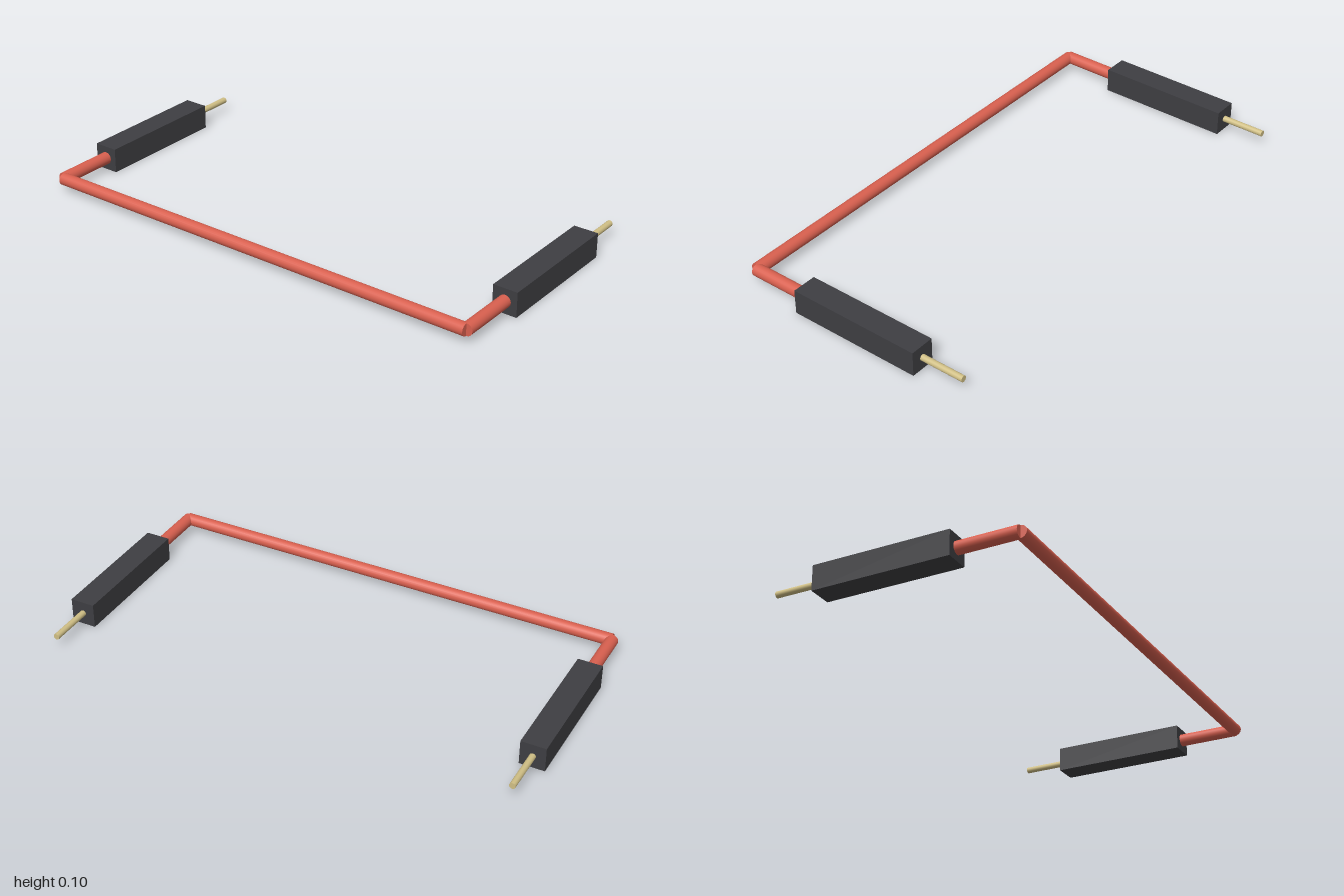
import * as THREE from 'three';

const AXIS_Y = 0.05;   // height of the wire's centreline
const SIDE_X = 0.95;   // offset of each plug from the middle
const WIRE_Z = 0.475;  // depth of the long wire run

function material(name, color) {
  const m = new THREE.MeshStandardMaterial({ color });
  m.name = name;
  return m;
}

// Solid rod lying along z
function rodZ(radius, z0, z1, mat, name) {
  const geometry = new THREE.CylinderGeometry(radius, radius, z1 - z0, 24);
  geometry.rotateX(Math.PI / 2);
  const mesh = new THREE.Mesh(geometry, mat);
  mesh.position.z = (z0 + z1) / 2;
  mesh.name = name;
  return mesh;
}

export function createModel() {
  const red = material('red insulation', 0xd9604f);
  const black = material('black plastic', 0x3e3e42);
  const brass = material('pale brass', 0xd0bf85);

  const model = new THREE.Group();
  model.name = 'jumperWire';

  // Long run across the front
  const runGeometry = new THREE.CylinderGeometry(0.025, 0.025, SIDE_X * 2, 24);
  runGeometry.rotateZ(Math.PI / 2);
  const run = new THREE.Mesh(runGeometry, red);
  run.position.set(0, AXIS_Y, WIRE_Z);
  run.name = 'wireRun';
  model.add(run);

  // Matching plug, wire leg and pin at each end
  for (const [side, sign] of [['left', 1], ['right', -1]]) {
    const end = new THREE.Group();
    end.name = side + 'Connector';
    end.position.set(sign * SIDE_X, AXIS_Y, 0);

    const housing = new THREE.Mesh(new THREE.BoxGeometry(0.1, 0.1, 0.552), black);
    housing.position.z = -0.042;
    housing.name = side + 'Housing';

    end.add(
      housing,
      rodZ(0.025, 0.2, WIRE_Z, red, side + 'WireLeg'),
      rodZ(0.0125, -0.5, -0.3, brass, side + 'Pin')
    );
    model.add(end);
  }
  return model;
}
